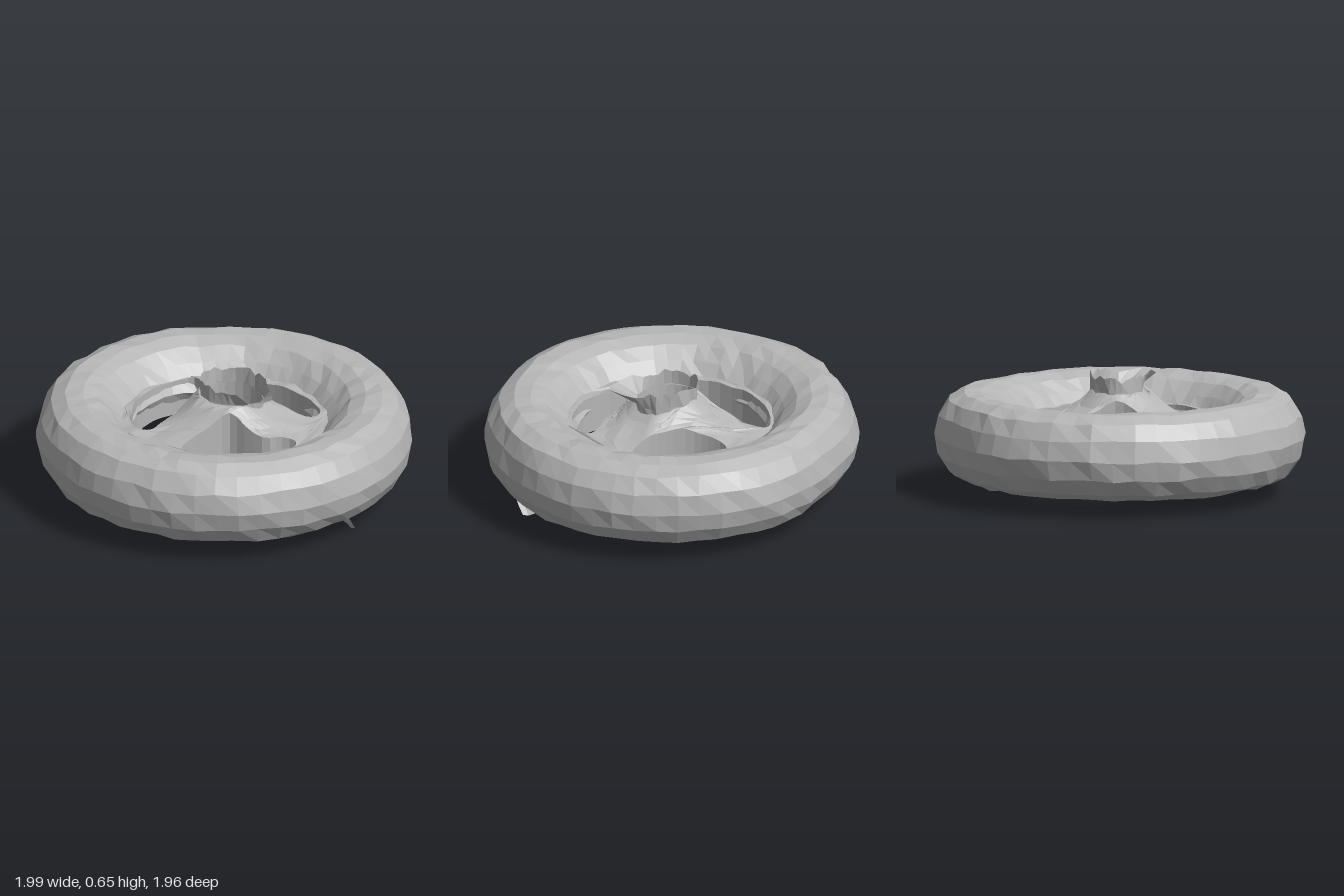
import * as THREE from 'three';

const grey = new THREE.MeshStandardMaterial({ color: 0xb6b6b6, flatShading: true, side: THREE.DoubleSide });
grey.name = 'plain grey';

// Repeatable noise from a position, so coincident vertices move together
function noise(x, y, z, k) {
  const r = (v) => Math.round(v * 1000);
  const s = Math.sin(r(x) * 12.99 + r(y) * 78.23 + r(z) * 37.72 + k * 5.17) * 43758.55;
  return (s - Math.floor(s)) * 2 - 1;
}

function moveVertices(geometry, rule) {
  const p = geometry.attributes.position;
  const v = new THREE.Vector3();
  for (let i = 0; i < p.count; i++) {
    v.fromBufferAttribute(p, i);
    rule(v);
    p.setXYZ(i, v.x, v.y, v.z);
  }
  geometry.computeVertexNormals();
  return geometry;
}

function roughen(v, a) {
  const { x, y, z } = v;
  v.set(x + a * noise(x, y, z, 1), y + a * noise(x, y, z, 2), z + a * noise(x, y, z, 3));
}

// Split every triangle of a non-indexed geometry into four
function subdivide(geometry) {
  const p = geometry.attributes.position;
  const points = [];
  for (let i = 0; i < p.count; i += 3) {
    const [a, b, c] = [0, 1, 2].map((k) => new THREE.Vector3().fromBufferAttribute(p, i + k));
    const ab = a.clone().lerp(b, 0.5), bc = b.clone().lerp(c, 0.5), ca = c.clone().lerp(a, 0.5);
    points.push(a, ab, ca, ab, b, bc, ca, bc, c, ab, bc, ca);
  }
  return new THREE.BufferGeometry().setFromPoints(points);
}

function addMesh(group, name, geometry) {
  const mesh = new THREE.Mesh(geometry, grey);
  mesh.name = name;
  group.add(mesh);
}

// Fat, slightly lumpy ring; the inner wall slopes away above and below
function tyre() {
  const profile = [
    [0.5, 0.35], [0.54, 0.28], [0.61, 0.2], [0.68, 0.14], [0.75, 0.11], [0.84, 0.107], [0.92, 0.145],
    [0.975, 0.23], [0.997, 0.33], [0.975, 0.44], [0.92, 0.525], [0.84, 0.562],
    [0.75, 0.562], [0.67, 0.535], [0.6, 0.475], [0.54, 0.41], [0.5, 0.35],
  ].map(([r, y]) => new THREE.Vector2(r, y));
  return moveVertices(new THREE.LatheGeometry(profile, 52), (v) => {
    roughen(v, 0.007);
    // shallow dent on the rear rim
    const a = Math.atan2(v.z, v.x);
    const dent = 1 - 0.025 * Math.exp(-(((a + 2.0) / 0.25) ** 2));
    v.x *= dent;
    v.z *= dent * 0.985;
  });
}

// Hollow hub with torn ends and a lip pulled out to one side
function hub() {
  const profile = [
    [0.98, 0.045], [0.97, 0.12], [1, 0.25], [1, 0.4], [1, 0.5], [1, 0.57], [1.02, 0.645],
  ].map(([r, y]) => new THREE.Vector2(r, y));
  return moveVertices(new THREE.LatheGeometry(profile, 28), (v) => {
    const a = Math.atan2(v.z, v.x);
    const lip = Math.max(0, (v.y - 0.57) / 0.075) * Math.exp(-(((a - 0.6) / 0.5) ** 2));
    const tear = v.y > 0.63 || v.y < 0.06 ? 0.02 * noise(v.x, v.y, v.z, 4) : 0;
    v.set(0.04 + v.x * (0.175 + 0.14 * lip), v.y + tear, -0.015 + v.z * (0.14 + 0.15 * lip));
    roughen(v, 0.006);
  });
}

// Outline of an ellipse in plan
function ellipse(cx, cz, rx, rz, n) {
  return Array.from({ length: n }, (_, i) => {
    const a = (i / n) * Math.PI * 2;
    return new THREE.Vector2(cx + rx * Math.cos(a), -(cz + rz * Math.sin(a)));
  });
}

// Rounded outline of a window through a few plan points
function windowOutline(points) {
  const curve = new THREE.CatmullRomCurve3(points.map(([x, z]) => new THREE.Vector3(x, -z, 0)), true);
  return curve.getPoints(30).slice(0, -1).map((p) => new THREE.Vector2(p.x, p.y));
}

// Domed centre: three arms left between three windows, around the bore
function spokes() {
  const windows = [
    [[-0.34, -0.385], [-0.29, -0.35], [-0.24, -0.2], [-0.175, -0.02], [-0.2, 0.08], [-0.27, 0.2],
      [-0.29, 0.29], [-0.34, 0.31], [-0.41, 0.27], [-0.48, 0.13], [-0.515, -0.03], [-0.48, -0.2], [-0.41, -0.33]],
    [[0, -0.475], [0.12, -0.465], [0.26, -0.42], [0.38, -0.35], [0.44, -0.25], [0.4, -0.19],
      [0.3, -0.17], [0.18, -0.2], [0.06, -0.27], [0, -0.35], [-0.03, -0.43]],
    [[-0.06, 0.43], [-0.05, 0.36], [0.03, 0.24], [0.1, 0.165], [0.2, 0.17], [0.32, 0.17],
      [0.38, 0.12], [0.46, 0.11], [0.475, 0.2], [0.42, 0.32], [0.3, 0.42], [0.15, 0.465], [0.02, 0.46]],
  ];
  const shape = new THREE.Shape(ellipse(0, 0, 0.6, 0.59, 40));
  const bore = ellipse(0.04, -0.015, 0.172, 0.137, 24);
  shape.holes = [bore, ...windows.map(windowOutline)].map((points) => new THREE.Path(points));
  const slab = new THREE.ExtrudeGeometry(shape, { depth: 1, bevelEnabled: false });
  slab.rotateX(-Math.PI / 2);
  return moveVertices(subdivide(subdivide(slab)), (v) => {
    // steep beside the hub, nearly level at the ring
    const r = Math.hypot(v.x - 0.02, v.z);
    const top = 0.41 + 0.16 * Math.exp(-Math.max(0, r - 0.16) / 0.13);
    const bottom = 0.18 + 0.12 * Math.max(0, r - 0.15);
    const lump = 0.008 * Math.sin(23 * v.x + 11 * v.z) * Math.cos(19 * v.z);
    v.y = bottom + (top - bottom) * v.y + lump;
  });
}

// Thin torn web hanging under one arm and running out below the ring
function fin() {
  const path = new THREE.CatmullRomCurve3([
    new THREE.Vector3(0.03, 0, 0.125), new THREE.Vector3(0.25, 0, 0.14),
    new THREE.Vector3(0.47, 0, 0.09), new THREE.Vector3(0.68, 0, 0.17), new THREE.Vector3(0.84, 0, 0.27),
  ]);
  return moveVertices(new THREE.PlaneGeometry(1, 1, 22, 3), (v) => {
    const t = v.x + 0.5, h = v.y + 0.5;
    const p = path.getPoint(t);
    const top = 0.27 - 0.14 * t;
    const bottom = 0.035 + 0.018 * noise(t, 0, 0, 5);
    const lean = 0.08 * t ** 3 * (1 - h);
    v.set(p.x, bottom + (top - bottom) * h, p.z - lean + 0.012 * noise(t, h, 0, 6));
  });
}

export function createModel() {
  const model = new THREE.Group();
  model.name = 'wheel';
  addMesh(model, 'tyre', tyre());
  addMesh(model, 'hub', hub());
  addMesh(model, 'spokes', spokes());
  addMesh(model, 'fin', fin());
  return model;
}
